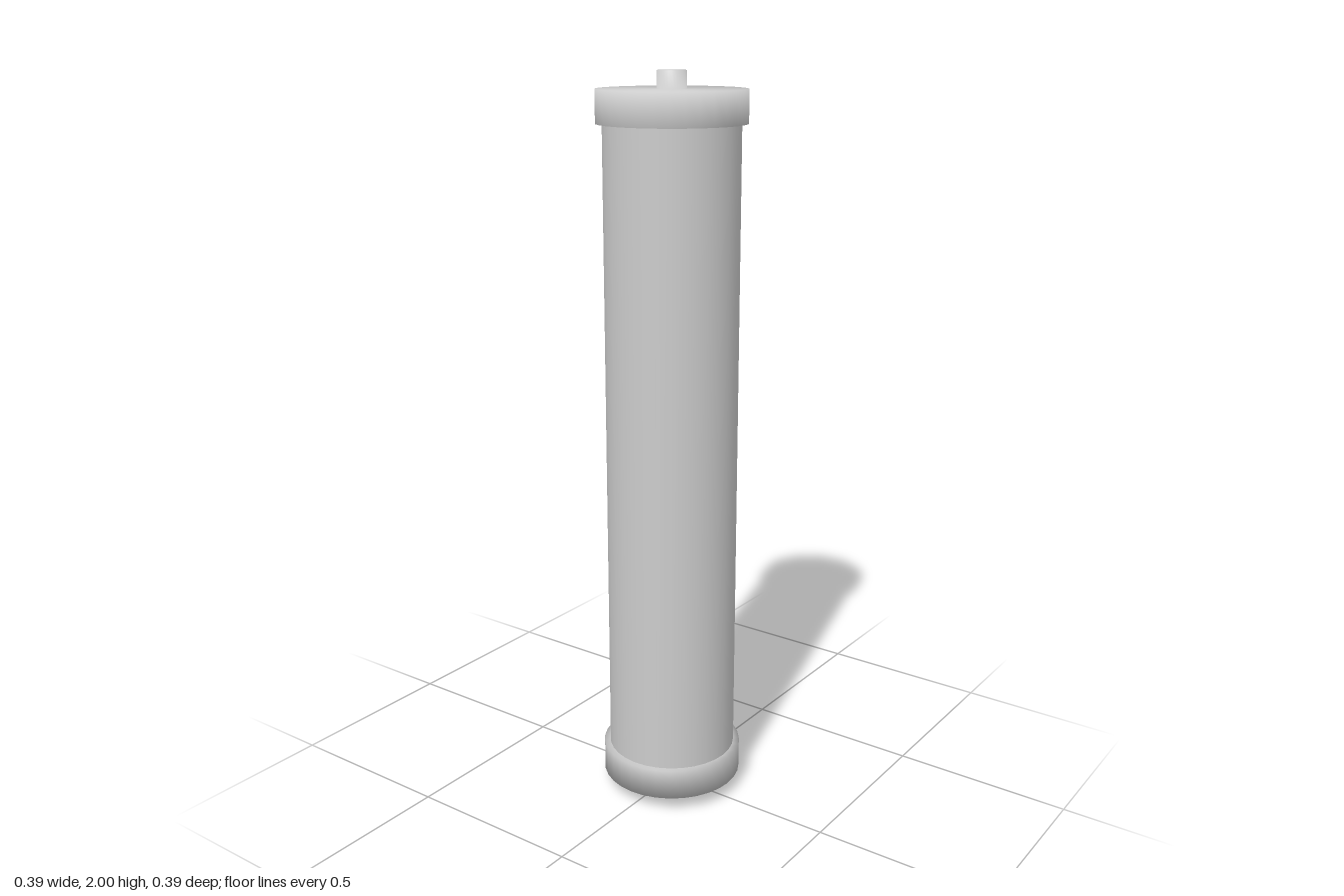
import * as THREE from 'three';

const SIDES = 32;
const HALF = 1; // half of the total height

export function createModel() {
  const group = new THREE.Group();
  const material = new THREE.MeshStandardMaterial({ color: 0xcccccc });

  // long smooth tube between the two end caps
  const body = new THREE.Mesh(
    new THREE.CylinderGeometry(0.178, 0.178, 1.75, SIDES, 1, true), material);
  body.name = 'tubeBody';
  body.position.y = HALF;
  group.add(body);

  // softly shaded end cap with its centre pin, measured from mid-height
  const profile = [
    [0.17, 0.87], [0.195, 0.87], [0.195, 0.955],
    [0.038, 0.955], [0.038, 1], [0, 1],
  ].map(([r, y]) => new THREE.Vector2(r, y));
  const capGeometry = new THREE.LatheGeometry(profile, SIDES);

  for (const [name, turn] of [['topCap', 0], ['bottomCap', Math.PI]]) {
    const cap = new THREE.Mesh(capGeometry, material);
    cap.name = name;
    cap.position.y = HALF;
    cap.rotation.x = turn;
    group.add(cap);
  }

  return group;
}
